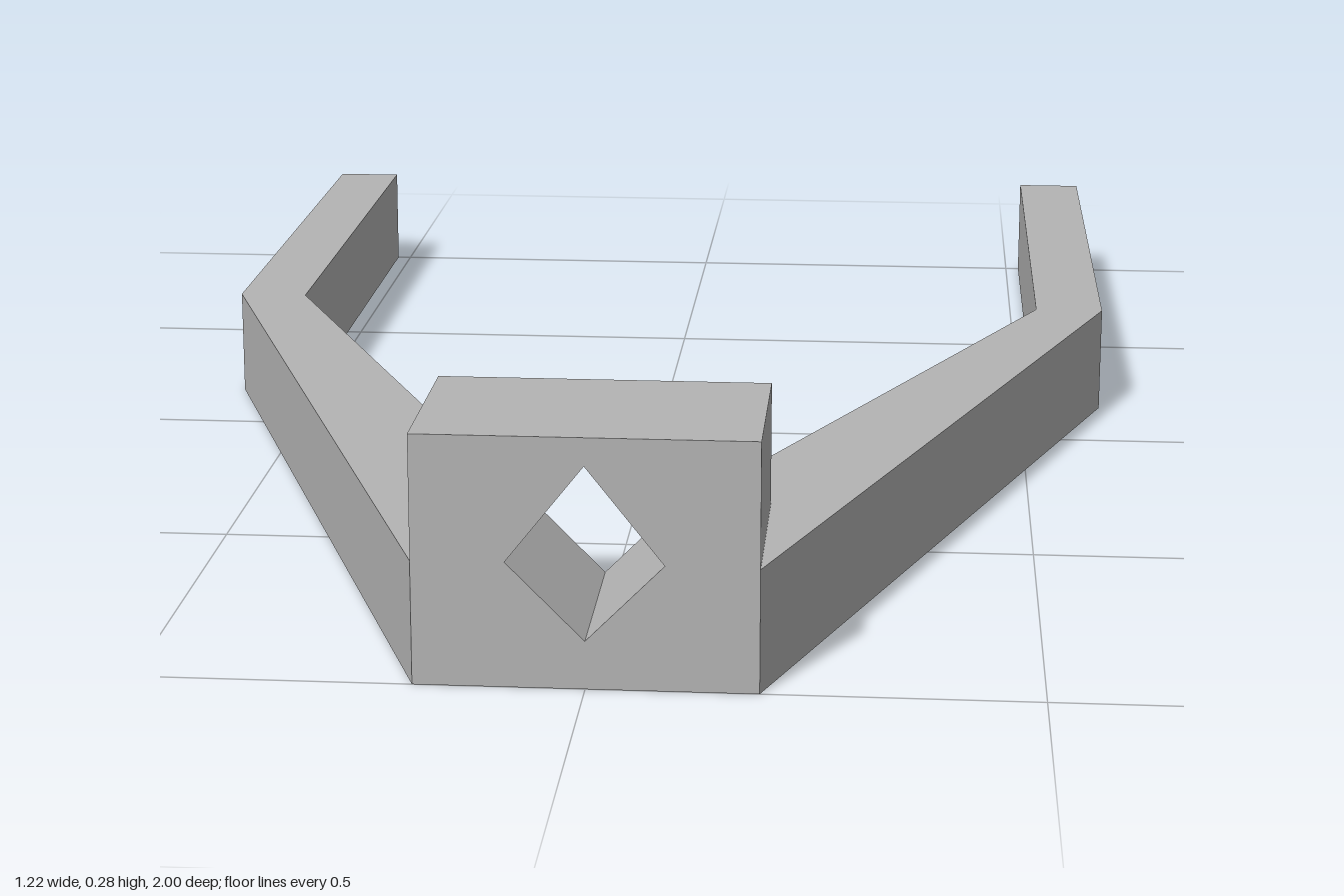
import * as THREE from 'three';

const BLOCK_HALF = 0.19, BLOCK_TOP = 0.285, BLOCK_BACK = 0.767, BLOCK_FRONT = 1;
const ARM_HEIGHT = 0.142;

const toPoints = (list) => list.map(([x, y]) => new THREE.Vector2(x, y));

export function createModel() {
  const group = new THREE.Group();
  const grey = new THREE.MeshStandardMaterial({ color: 0xb4b4b4 });
  grey.name = 'grey';

  // Block with a diamond hole running front to back
  const face = new THREE.Shape(toPoints([
    [-BLOCK_HALF, 0], [BLOCK_HALF, 0], [BLOCK_HALF, BLOCK_TOP], [-BLOCK_HALF, BLOCK_TOP],
  ]));
  face.holes.push(new THREE.Path(toPoints([[0, 0.055], [-0.087, 0.143], [0, 0.253], [0.087, 0.143]])));
  const blockGeometry = new THREE.ExtrudeGeometry(face, {
    depth: BLOCK_FRONT - BLOCK_BACK, bevelEnabled: false,
  });
  blockGeometry.translate(0, 0, BLOCK_BACK);
  const block = new THREE.Mesh(blockGeometry, grey);
  block.name = 'block';
  group.add(block);

  // Bent arm outline as (x, z), mirrored to each side
  const outline = [
    [BLOCK_HALF, BLOCK_FRONT], [0.612, -0.163], [0.612, -1],
    [0.52, -1], [0.52, -0.163], [0.095, BLOCK_BACK], [BLOCK_HALF, BLOCK_BACK],
  ];
  for (const [name, side] of [['leftArm', 1], ['rightArm', -1]]) {
    const shape = new THREE.Shape(toPoints(outline.map(([x, z]) => [x * side, -z])));
    const geometry = new THREE.ExtrudeGeometry(shape, { depth: ARM_HEIGHT, bevelEnabled: false });
    geometry.rotateX(-Math.PI / 2);
    const arm = new THREE.Mesh(geometry, grey);
    arm.name = name;
    group.add(arm);
  }
  return group;
}
